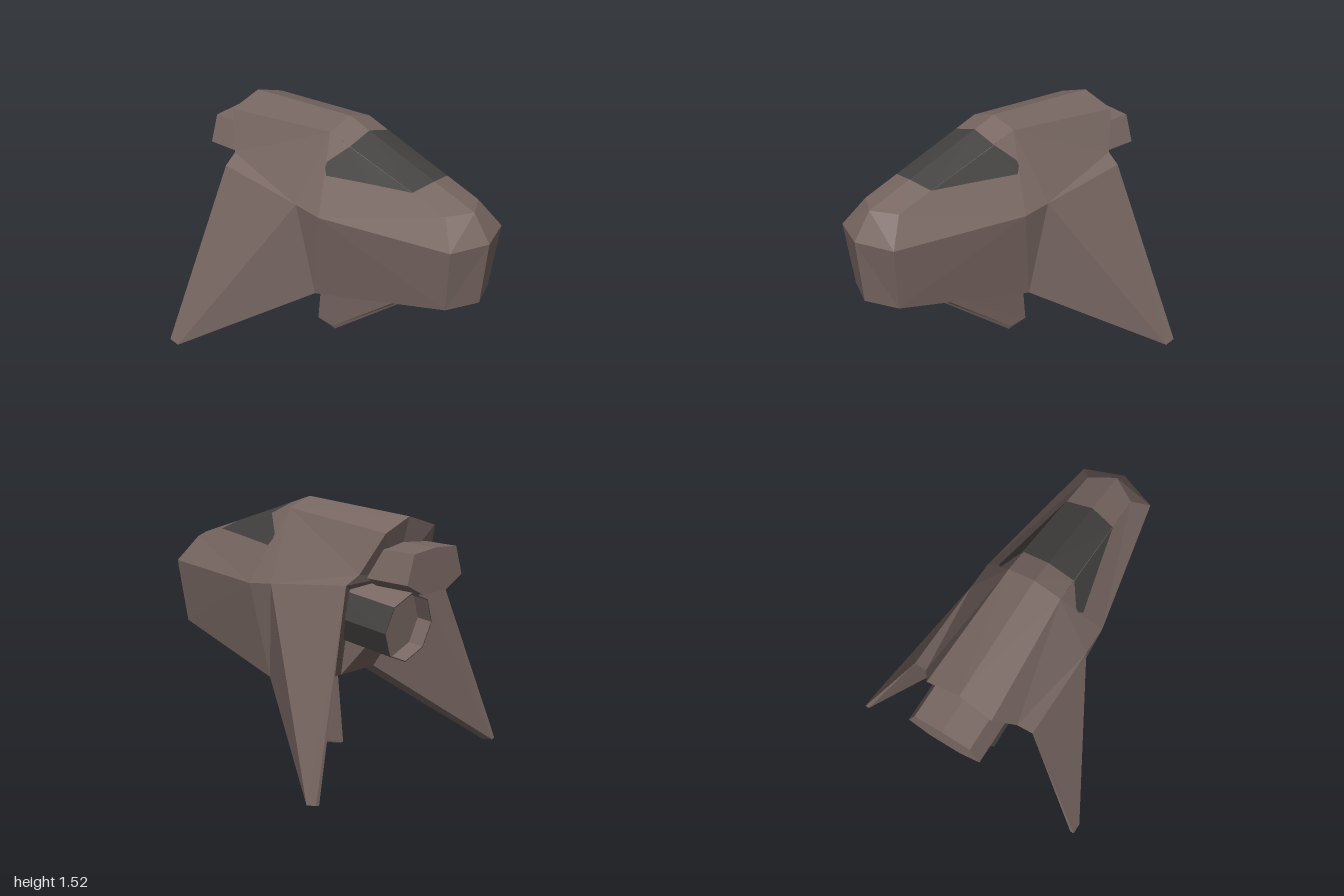
import * as THREE from 'three';

const paint = (name, color) => {
  const m = new THREE.MeshStandardMaterial({ color, flatShading: true });
  m.name = name;
  return m;
};

// Faceted mesh from named points; faces turn away from the centre and are mirrored in z.
function facets(name, pts, faces, material, centre) {
  const c = new THREE.Vector3(...centre);
  const pos = [];
  for (const side of [1, -1]) {
    const mid = new THREE.Vector3(c.x, c.y, c.z * side);
    for (const face of faces) {
      const v = face.split(' ').map((k) => new THREE.Vector3(pts[k][0], pts[k][1], pts[k][2] * side));
      for (let i = 1; i < v.length - 1; i++) {
        const t = [v[0], v[i], v[i + 1]];
        const n = t[1].clone().sub(t[0]).cross(t[2].clone().sub(t[0]));
        const out = t[0].clone().add(t[1]).add(t[2]).divideScalar(3).sub(mid);
        if (n.dot(out) < 0) t.reverse();
        t.forEach((p) => pos.push(p.x, p.y, p.z));
      }
    }
  }
  const g = new THREE.BufferGeometry();
  g.setAttribute('position', new THREE.Float32BufferAttribute(pos, 3));
  g.computeVertexNormals();
  const mesh = new THREE.Mesh(g, material);
  mesh.name = name;
  return mesh;
}

export function createModel() {
  const model = new THREE.Group();
  model.name = 'spacecraft';
  const hull = paint('hullBrown', 0x786762);
  const dark = paint('darkGrey', 0x444240);

  // Hull: ridge, roof edge, shoulder, chine and keel points on the +z half
  const h = {
    ridgeRear: [-0.81, 1.49, 0], ridgeMid: [-0.04, 1.525, 0], ridgeW1: [0.11, 1.473, 0],
    ridgeW2: [0.6, 1.301, 0], ridgeFront: [0.89, 1.2, 0],
    edgeRear: [-0.82, 1.42, 0.21], edgeMid: [-0.04, 1.475, 0.17], edgeW1: [0.11, 1.426, 0.166],
    edgeW2: [0.57, 1.275, 0.1555], edgeFront: [0.8, 1.2, 0.15],
    notch: [-0.715, 1.19, 0.305], shRear: [-0.7, 1.14, 0.395], shWing: [-0.11, 1.065, 0.395],
    shMid: [0.07, 1.04, 0.395], shFront: [0.91, 1.04, 0.235],
    nose: [1, 1.04, 0], chin: [0.95, 0.65, 0], chineFront: [0.86, 0.65, 0.2],
    chineMid: [-0.03, 0.475, 0.33], keelMid: [-0.03, 0.475, 0],
    chineRear: [-0.3, 0.475, 0.29], keelRear: [-0.3, 0.475, 0],
    tailMid: [-0.71, 1.14, 0], tailIn: [-0.38, 1.0, 0],
  };
  const inside = [0, 0.95, 0];
  model.add(facets('hull', h, [
    // roof
    'ridgeRear ridgeMid edgeMid edgeRear', 'ridgeMid ridgeW1 edgeW1 edgeMid',
    'ridgeW2 ridgeFront edgeFront edgeW2',
    // upper sides
    'edgeRear edgeMid notch', 'notch edgeMid shWing shRear', 'edgeMid shMid shWing',
    'edgeMid shMid edgeFront', 'edgeFront shMid shFront',
    // nose
    'ridgeFront edgeFront shFront nose', 'nose shFront chineFront chin',
    // lower sides and belly
    'shMid shFront chineFront chineMid', 'shWing shMid chineMid', 'shRear shWing chineMid',
    'shRear chineMid chineRear',
    'chin chineFront chineMid keelMid', 'keelMid chineMid chineRear keelRear',
    // tail, with the engine recess below
    'tailMid ridgeRear edgeRear', 'tailMid edgeRear notch', 'tailMid notch shRear',
    'tailMid shRear tailIn', 'shRear chineRear keelRear', 'shRear keelRear tailIn',
  ], hull, inside));

  // Canopy glass: roof panes, then side panes lying just above the upper side plane
  model.add(facets('canopyTop', h, ['ridgeW1 ridgeW2 edgeW2 edgeW1'], dark, inside));
  const pane = {};
  [[0.11, 1.425], [0.005, 1.325], [0.005, 1.295], [0.03, 1.257], [0.3, 1.268], [0.57, 1.276]]
    .forEach(([x, y], i) => { pane['p' + i] = [x, y, 1.0025 - 0.21 * x - 0.57 * y + 0.003]; });
  model.add(facets('canopySide', pane, ['p0 p1 p2 p3 p4 p5'], dark, inside));

  // Swept-down wings
  const w = {
    a: h.shRear, b: h.shWing, c: h.chineMid,
    ai: [-0.62, 1.0, 0.372], ci: h.chineRear,
    t1: [-0.79, 0.006, 0.795], t2: [-0.86, 0.02, 0.795],
    t3: [-0.79, 0, 0.77], t4: [-0.86, 0.014, 0.77],
  };
  model.add(facets('wings', w,
    ['a b t1 t2', 'b c t1', 'c ci t3 t1', 'ci ai t4 t3', 'a ai t4 t2', 't1 t2 t4 t3'],
    hull, [-0.5, 0.62, 0.45]));

  // Belly fin with a bevelled leading edge
  const f = {
    l1: [0.64, 0.62, 0.003], l2: [-0.17, 0.022, 0.006],
    m0: [0.58, 0.61, 0.007], m1: [0.48, 0.525, 0.02], m2: [-0.18, 0.04, 0.012],
    t: [-0.31, 0.052, 0.012], r: [-0.25, 0.52, 0.02],
    l10: [0.64, 0.62, 0], l20: [-0.17, 0.022, 0], t0: [-0.31, 0.052, 0], r0: [-0.25, 0.52, 0],
  };
  model.add(facets('bellyFin', f,
    ['m1 m0 r', 'm1 r t m2', 'l1 m0 m1', 'l1 m1 m2 l2', 'l2 m2 t',
      'l10 l1 l2 l20', 'l20 l2 t t0', 't0 t r r0'],
    hull, [-0.1, 0.3, 0]));

  // Upper exhaust block
  const half = [[0, 1.34], [0.18, 1.325], [0.235, 1.16], [0.1, 1.09], [0, 1.09]];
  const e = {};
  half.forEach(([z, y], i) => { e['r' + i] = [-1, y, z]; e['f' + i] = [-0.66, y, z]; });
  model.add(facets('exhaustBlock', e,
    ['r0 r1 r2 r3 r4', ...[0, 1, 2, 3].map((i) => `r${i} r${i + 1} f${i + 1} f${i}`)],
    hull, [-0.83, 1.22, 0]));

  // Lower engine: open octagonal nozzle, brown on top and inside; local +y points aft
  const engine = new THREE.Group();
  engine.name = 'lowerEngine';
  const r = 0.205;
  const length = 0.5;
  const step = Math.PI / 4;
  const add = (geometry, mat, name) => {
    const m = new THREE.Mesh(geometry, mat);
    m.name = name;
    engine.add(m);
    return m;
  };
  const ring = (radius, from, count) =>
    new THREE.CylinderGeometry(radius, radius, length, count, 1, true, from, count * step);
  add(ring(r, Math.PI / 2 - step, 2), hull, 'nozzleTop');
  add(ring(r, Math.PI / 2 + step, 6), dark, 'nozzleSides');
  const liner = ring(r - 0.006, 0, 8);
  liner.setIndex([...liner.index.array].reverse());
  add(liner, hull, 'nozzleLiner');
  const rim = add(new THREE.RingGeometry(r - 0.006, r, 8), dark, 'nozzleRim');
  rim.rotation.x = -Math.PI / 2;
  rim.position.y = length / 2;
  const back = add(new THREE.CircleGeometry(r - 0.006, 8), hull, 'nozzleBack');
  back.rotation.x = -Math.PI / 2;
  back.position.y = length / 2 - 0.1;
  engine.rotation.z = Math.PI / 2 + 0.1;
  engine.position.set(-0.57, 0.88, 0);
  model.add(engine);

  return model;
}
